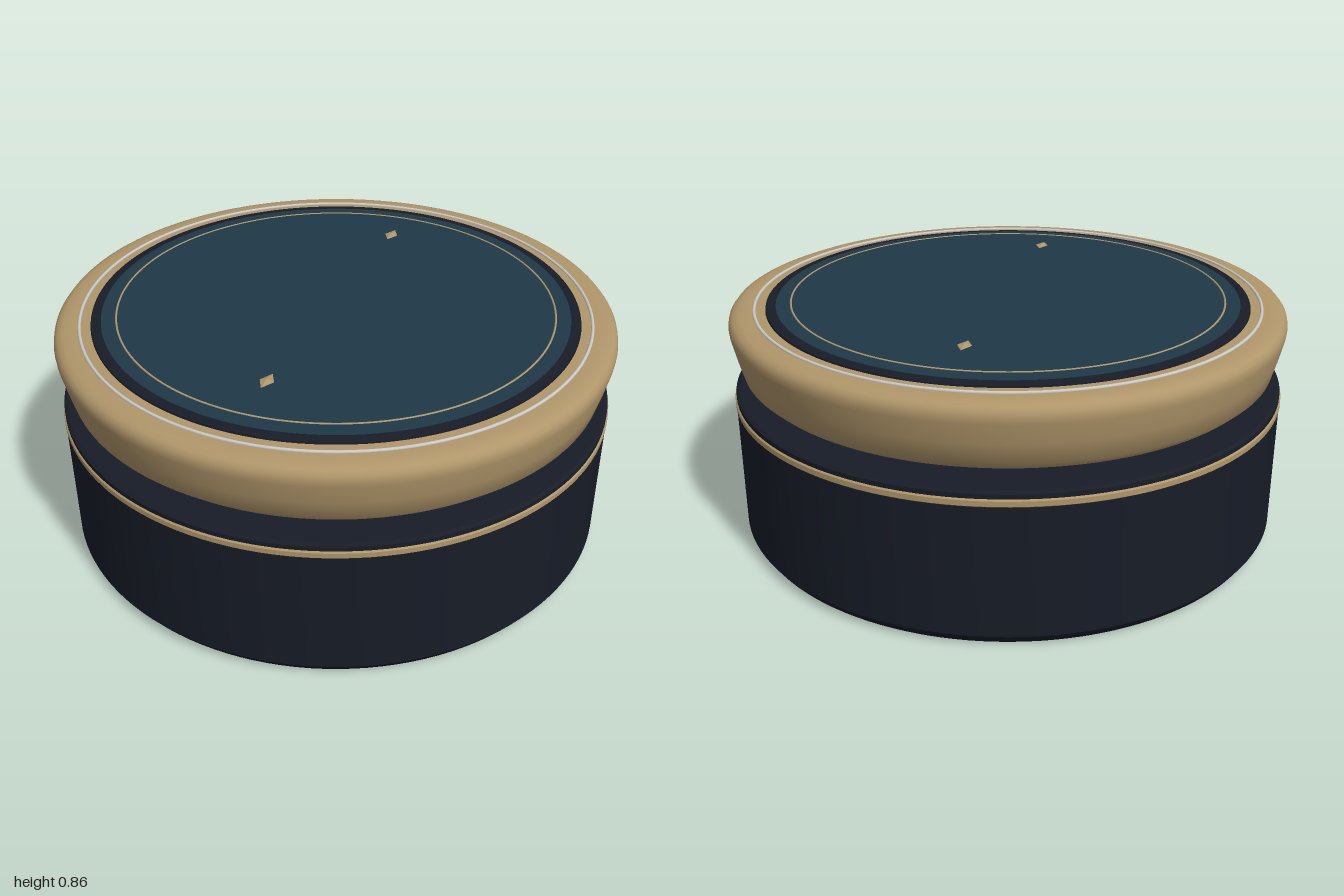
import * as THREE from 'three';
import { toCreasedNormals } from 'three/addons/utils/BufferGeometryUtils.js';

const navy = new THREE.MeshStandardMaterial({ color: 0x171c27 });
const gold = new THREE.MeshStandardMaterial({ color: 0xb0966a });
const blue = new THREE.MeshStandardMaterial({ color: 0x1f3847 });
const silver = new THREE.MeshStandardMaterial({ color: 0xcccccc });

export function createModel() {
  const model = new THREE.Group();

  // Revolves a profile of [radius, height] pairs, listed from the bottom up the outside
  const turned = (name, profile, material, parent) => {
    const points = profile.map(([r, y]) => new THREE.Vector2(r, y));
    const geometry = toCreasedNormals(new THREE.LatheGeometry(points, 128), 0.6);
    const mesh = new THREE.Mesh(geometry, material);
    mesh.name = name;
    parent.add(mesh);
    return mesh;
  };

  // Fine raised ring lying flat on the lid
  const ring = (name, radius, tube, y, material, parent) => {
    const mesh = new THREE.Mesh(new THREE.TorusGeometry(radius, tube, 8, 128), material);
    mesh.name = name;
    mesh.rotation.x = -Math.PI / 2;
    mesh.position.y = y;
    parent.add(mesh);
  };

  // Base: chamfered drum, gold band and dark rim
  const base = new THREE.Group();
  base.name = 'base';
  model.add(base);
  turned('baseBody', [[0, 0], [0.965, 0], [0.975, 0.008], [0.997, 0.04], [0.997, 0.5], [0, 0.5]], navy, base);
  turned('baseBand', [[0.96, 0.5], [0.995, 0.5], [1, 0.504], [1, 0.522], [0.995, 0.527], [0.96, 0.527]], gold, base);
  turned('baseRim', [[0.96, 0.527], [0.995, 0.527], [0.995, 0.543], [0.985, 0.55], [0, 0.55]], navy, base);

  // Lid: flared gold shell floating just above the base
  const lid = new THREE.Group();
  lid.name = 'lid';
  model.add(lid);
  turned('lidShell', [
    [0, 0.597], [0.93, 0.597], [0.963, 0.628], [0.982, 0.7], [0.998, 0.77], [1, 0.79],
    [0.996, 0.808], [0.985, 0.822], [0.965, 0.83], [0.93, 0.832], [0, 0.832],
  ], gold, lid);

  // Stepped top: dark bezel and a gently domed blue panel
  turned('lidBezel', [[0.87, 0.83], [0.868, 0.838], [0.83, 0.842], [0, 0.842]], navy, lid);
  turned('lidPanel', [
    [0.835, 0.838], [0.833, 0.843], [0.78, 0.846], [0.55, 0.851], [0.3, 0.854], [0, 0.855],
  ], blue, lid);
  ring('silverRing', 0.908, 0.006, 0.833, silver, lid);
  ring('goldInlayRing', 0.78, 0.004, 0.845, gold, lid);

  // Faceted diamond studs near the front and back
  for (const side of [1, -1]) {
    const stud = new THREE.Mesh(new THREE.OctahedronGeometry(1), gold);
    stud.name = side > 0 ? 'frontDiamond' : 'backDiamond';
    stud.scale.set(0.025, 0.008, 0.046);
    stud.position.set(0, 0.855, side * 0.592);
    lid.add(stud);
  }

  return model;
}
